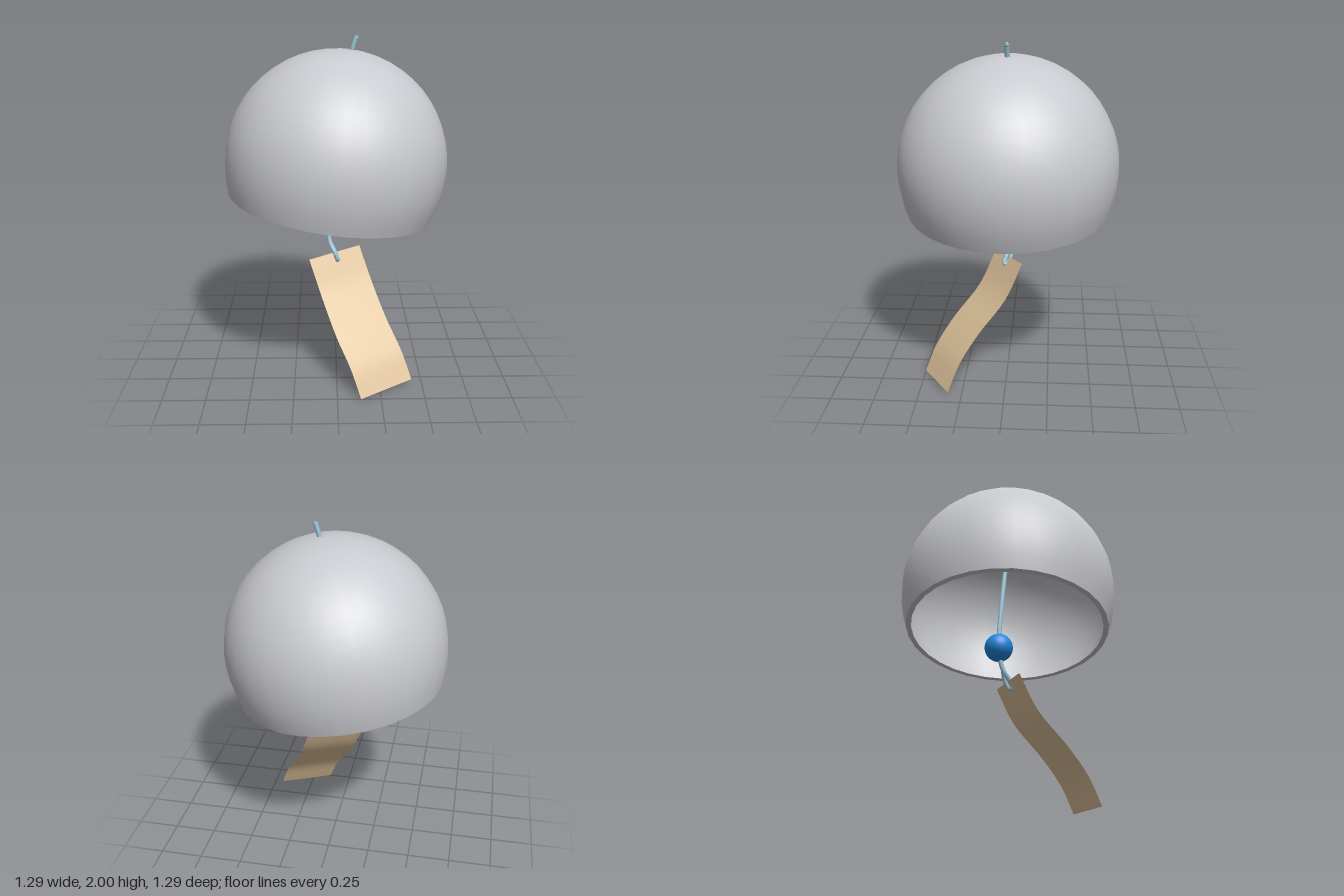
import * as THREE from 'three';
import { toCreasedNormals } from 'three/addons/utils/BufferGeometryUtils.js';

const mat = (name, color) => {
  const m = new THREE.MeshStandardMaterial({ color });
  m.name = name;
  return m;
};

// Points on a dome arc; the part below the equator is drawn out to the rim
function domeArc(radius, top, rimY, rimRadius, steps) {
  const points = [];
  const low = -Math.acos(rimRadius / radius);
  const drop = rimY / Math.sin(low);
  for (let i = 0; i <= steps; i++) {
    const a = low + (Math.PI / 2 - low) * (i / steps);
    const r = i === steps ? 0 : radius * Math.cos(a);
    points.push(new THREE.Vector2(r, Math.sin(a) * (a < 0 ? drop : top)));
  }
  return points;
}

const curve = (pts) => new THREE.CatmullRomCurve3(pts.map((p) => new THREE.Vector3(...p)));

export function createModel() {
  const model = new THREE.Group();
  model.name = 'windChime';
  const glass = mat('pale grey glass', 0xc9cacf);
  const cordBlue = mat('light blue cord', 0x9cc6d8);
  const beadBlue = mat('bright blue', 0x2088e0);
  const paper = mat('tan paper', 0xdfc39b);
  paper.side = THREE.DoubleSide;

  const add = (name, geometry, material) => {
    const mesh = new THREE.Mesh(geometry, material);
    mesh.name = name;
    model.add(mesh);
    return mesh;
  };

  // Tilted hollow bell: inner wall downwards, rim, outer wall upwards
  const inner = domeArc(0.612, 0.61, -0.265, 0.567, 16).reverse();
  const outer = domeArc(0.643, 0.64, -0.265, 0.598, 16);
  const bellGeometry = toCreasedNormals(new THREE.LatheGeometry([...inner, ...outer], 32), 0.7);
  const bell = add('bell', bellGeometry, glass);
  bell.position.y = 1.285;
  bell.rotation.z = -0.143;

  // Cord from above the bell, through the bead, down to the paper strip
  const cord = curve([
    [0.115, 1.997, 0], [0.09, 1.915, 0], [0.03, 1.6, -0.01], [-0.03, 1.25, -0.03],
    [-0.053, 1.0, -0.045], [-0.055, 0.91, -0.047], [-0.046, 0.83, -0.038], [-0.034, 0.765, -0.02],
    [-0.006, 0.715, 0.012], [0.008, 0.675, 0.02],
  ]);
  add('cord', new THREE.TubeGeometry(cord, 64, 0.014, 8), cordBlue);

  // Small loop passing through the strip
  const loop = curve([
    [-0.036, 0.77, -0.024], [-0.016, 0.735, -0.022], [0.0, 0.695, -0.008],
    [0.008, 0.672, 0.01], [0.012, 0.674, 0.024], [0.0, 0.705, 0.024],
  ]);
  add('cordLoop', new THREE.TubeGeometry(loop, 20, 0.012, 8), cordBlue);

  // Cord ends
  [[0.115, 1.985, 0], [0.008, 0.672, 0.02]].forEach((p) => {
    add('cordEnd', new THREE.SphereGeometry(0.014, 8, 6), cordBlue).position.set(...p);
  });

  // Bead clapper
  add('bead', new THREE.SphereGeometry(0.083, 32, 20), beadBlue).position.set(-0.053, 0.908, -0.047);

  // Paper strip: one edge curve swept along a constant width vector
  const edge = curve([
    [-0.16, 0.698, 0.087], [-0.088, 0.5, 0.18], [-0.002, 0.31, 0.335],
    [0.077, 0.16, 0.437], [0.135, 0.004, 0.502],
  ]);
  const width = new THREE.Vector3(0.305, 0.027, -0.176);
  const strip = new THREE.PlaneGeometry(1, 1, 4, 20);
  const pos = strip.attributes.position;
  for (let i = 0; i < pos.count; i++) {
    const p = edge.getPoint(0.5 - pos.getY(i)).addScaledVector(width, pos.getX(i) + 0.5);
    pos.setXYZ(i, p.x, p.y, p.z);
  }
  strip.computeVertexNormals();
  add('paperStrip', strip, paper);

  return model;
}
